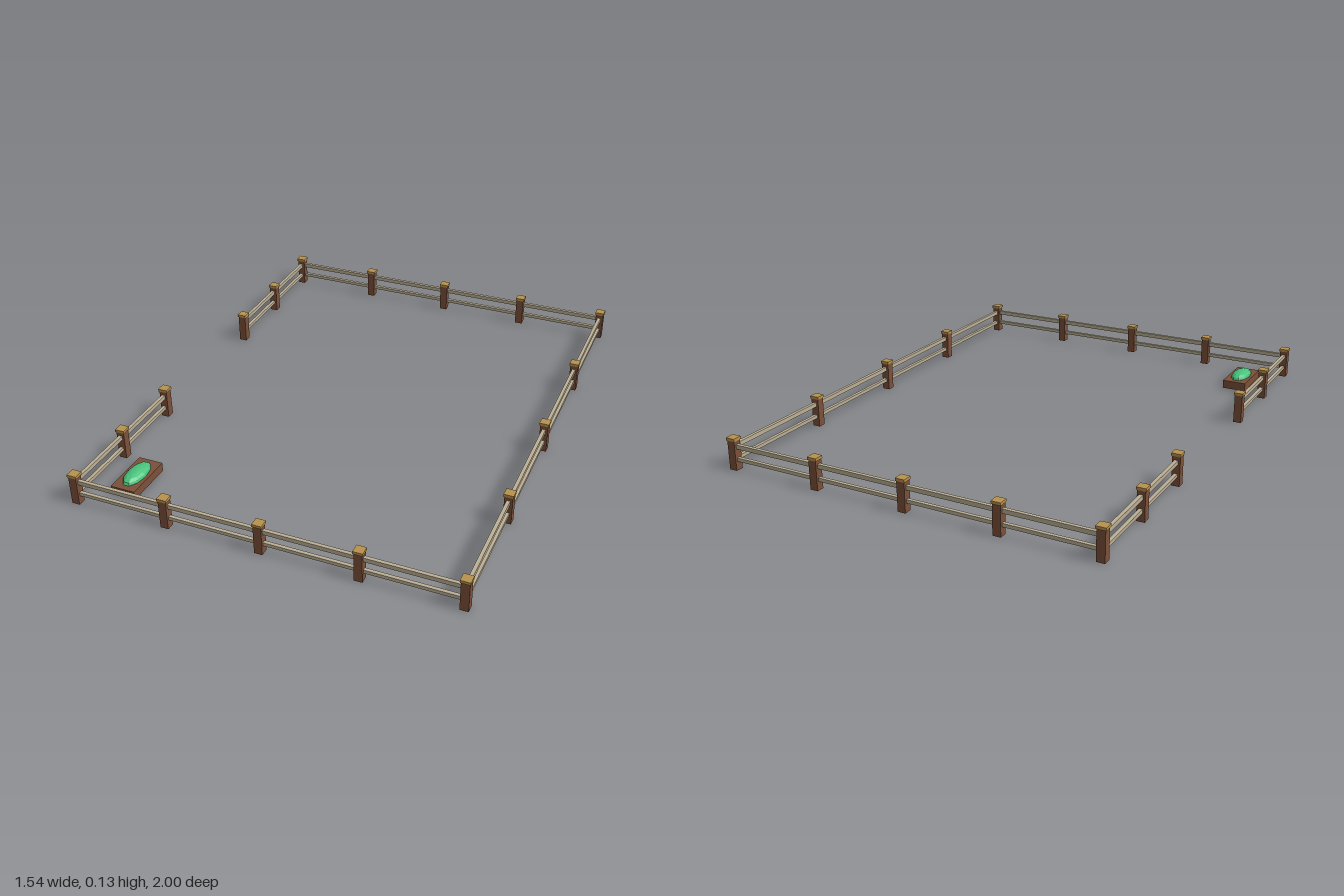
import * as THREE from 'three';

const mat = (name, color, flatShading = false) => {
  const m = new THREE.MeshStandardMaterial({ color, flatShading });
  m.name = name;
  return m;
};

export function createModel() {
  const group = new THREE.Group();
  group.name = 'paddockFence';
  const wood = mat('brown wood', 0x7c5039);
  const capWood = mat('golden wood', 0xb8924c);
  const railWood = mat('pale wood', 0xbcb096);
  const leaf = mat('green', 0x48c27c, true);

  const box = (name, material, w, h, d, x, y, z, parent = group) => {
    const mesh = new THREE.Mesh(new THREE.BoxGeometry(w, h, d), material);
    mesh.name = name;
    mesh.position.set(x, y, z);
    parent.add(mesh);
    return mesh;
  };

  const X = 0.75, Z = 0.981;

  // Square posts with a slightly wider flat cap
  const post = (x, z) => {
    const p = new THREE.Group();
    p.name = 'post';
    p.position.set(x, 0, z);
    box('postShaft', wood, 0.032, 0.118, 0.032, 0, 0.059, 0, p);
    box('postCap', capWood, 0.038, 0.011, 0.038, 0, 0.1225, 0, p);
    group.add(p);
  };
  for (const z of [-Z, Z]) for (let i = -2; i <= 2; i++) post(i * X / 2, z);
  for (const z of [-Z / 2, 0, Z / 2]) post(X, z);
  for (const s of [-1, 1]) for (const z of [0.663, 0.345]) post(-X, s * z);

  // Two rails between a pair of points on one axis
  const rails = (x0, z0, x1, z1) => {
    const alongX = Math.abs(x1 - x0) > Math.abs(z1 - z0);
    const length = Math.hypot(x1 - x0, z1 - z0);
    for (const [name, y, h] of [['upperRail', 0.093, 0.017], ['lowerRail', 0.042, 0.014]])
      box(name, railWood, alongX ? length : 0.014, h, alongX ? 0.014 : length,
        (x0 + x1) / 2, y, (z0 + z1) / 2);
  };
  for (const s of [-1, 1]) {
    rails(-X, s * Z, X, s * Z);
    rails(-X, s * 0.345, -X, s * Z); // the gap between these is the gateway
  }
  rails(X, -Z, X, Z);

  // Trough with a low mound of greenery
  box('trough', wood, 0.1, 0.035, 0.2, -0.612, 0.0175, 0.795);
  const mound = new THREE.Mesh(new THREE.SphereGeometry(1, 10, 8), leaf);
  mound.name = 'greenMound';
  mound.scale.set(0.039, 0.024, 0.08);
  mound.position.set(-0.612, 0.036, 0.795);
  group.add(mound);

  return group;
}
